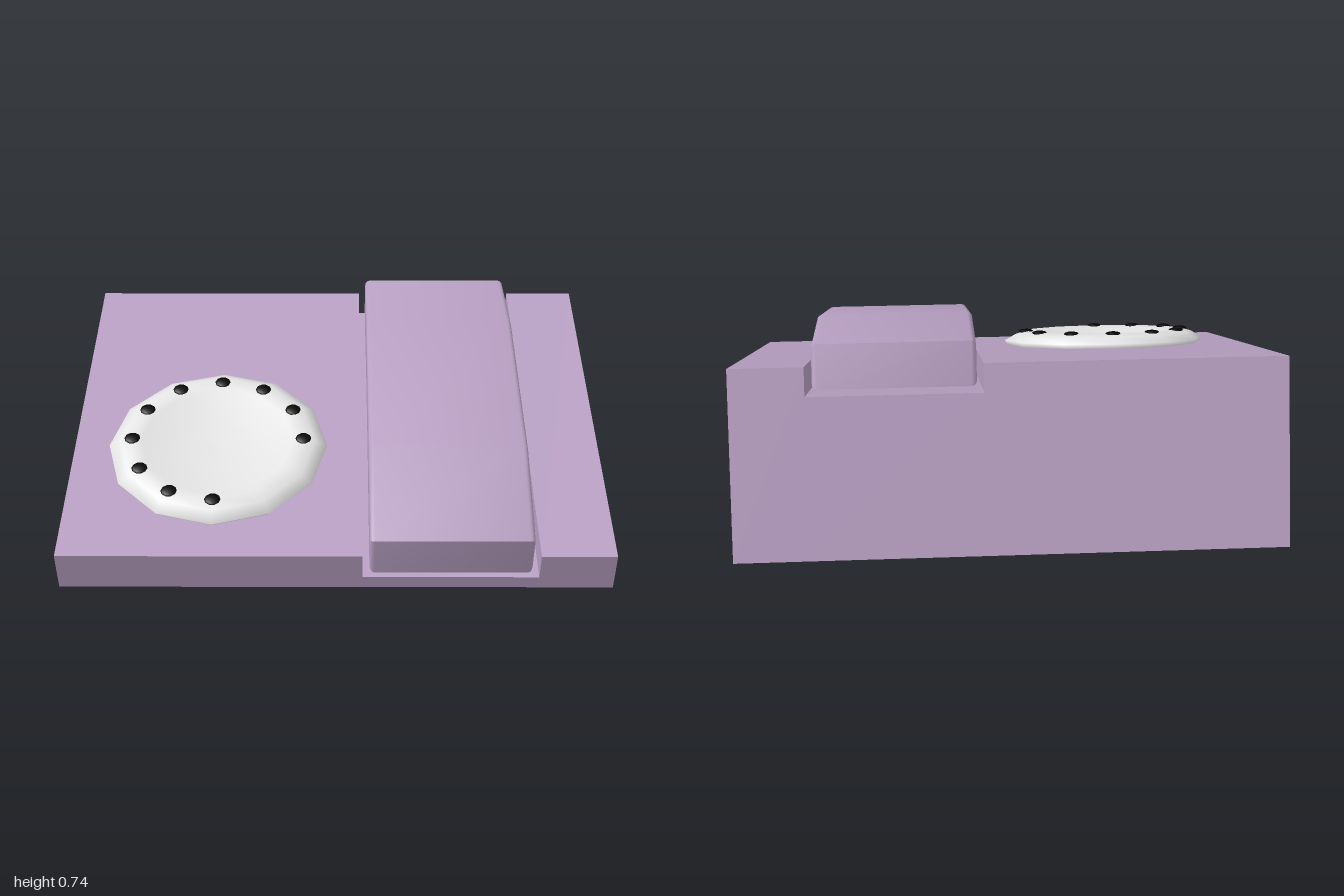
import * as THREE from 'three';
import { toCreasedNormals } from 'three/addons/utils/BufferGeometryUtils.js';

const mauve = new THREE.MeshStandardMaterial({ name: 'mauvePlastic', color: 0xb79fc2 });
const white = new THREE.MeshStandardMaterial({ name: 'whiteDial', color: 0xe4e4e4 });
const black = new THREE.MeshStandardMaterial({ name: 'blackHoles', color: 0x060606 });

function add(parent, name, geometry, material) {
  const mesh = new THREE.Mesh(geometry, material);
  mesh.name = name;
  parent.add(mesh);
  return mesh;
}

// Extrude a side profile of [z, y] points from x0 to x1, with an optional rounded edge
function sideExtrude(points, x0, x1, bevel = 0) {
  const shape = new THREE.Shape(points.map(([z, y]) => new THREE.Vector2(-z, y)));
  const geometry = new THREE.ExtrudeGeometry(shape, {
    depth: x1 - x0 - 2 * bevel,
    bevelEnabled: bevel > 0,
    bevelThickness: bevel,
    bevelSize: bevel,
    bevelOffset: -bevel,
    bevelSegments: 3,
  });
  geometry.rotateY(Math.PI / 2);
  geometry.translate(x0 + bevel, 0, 0);
  return toCreasedNormals(geometry, bevel > 0 ? 0.7 : 0.2);
}

export function createModel() {
  const model = new THREE.Group();
  model.name = 'telephone';

  // Wedge body with a channel for the handset
  const foot = [[-0.84, 0.015], [0.78, 0]];
  const wedge = [...foot, [0.83, 0.15], [-0.61, 0.67]];
  const channel = [...foot, [0.797, 0.05], [-0.645, 0.57]];
  const body = new THREE.Group();
  body.name = 'body';
  model.add(body);
  add(body, 'bodyDialSide', sideExtrude(wedge, -1, 0.095), mauve);
  add(body, 'handsetChannel', sideExtrude(channel, 0.095, 0.73), mauve);
  add(body, 'bodyOuterSide', sideExtrude(wedge, 0.73, 1), mauve);

  // Handset with a faceted back and a gently arched underside
  const handset = [
    [0.8, 0.07], [0.85, 0.22], [0.52, 0.44], [-0.18, 0.69], [-0.57, 0.74],
    [-0.63, 0.59], [-0.4, 0.525], [-0.1, 0.45], [0.3, 0.305], [0.56, 0.175],
  ].reverse();
  add(model, 'handset', sideExtrude(handset, 0.12, 0.705, 0.018), mauve);

  // Dial lying on the sloped top
  const dial = new THREE.Group();
  dial.name = 'dial';
  dial.position.set(-0.45, 0.336, 0.308);
  dial.rotation.x = Math.atan2(0.52, 1.44);
  model.add(dial);
  const profile = [
    [0.4, 0], [0.415, 0.02], [0.37, 0.046], [0.325, 0.058],
    [0.29, 0.05], [0.2, 0.026], [0.1, 0.014], [0, 0.01],
  ].map(([r, y]) => new THREE.Vector2(r, y));
  add(dial, 'dialPlate', new THREE.LatheGeometry(profile, 12), white);

  // Ten finger holes, leaving a gap at the lower right
  const hole = new THREE.SphereGeometry(0.03, 10, 6);
  hole.scale(1, 0.3, 1);
  for (let i = 0; i < 10; i++) {
    const a = (i * Math.PI) / 6;
    add(dial, 'fingerHole', hole, black)
      .position.set(Math.cos(a) * 0.325, 0.058, -Math.sin(a) * 0.325);
  }

  return model;
}
